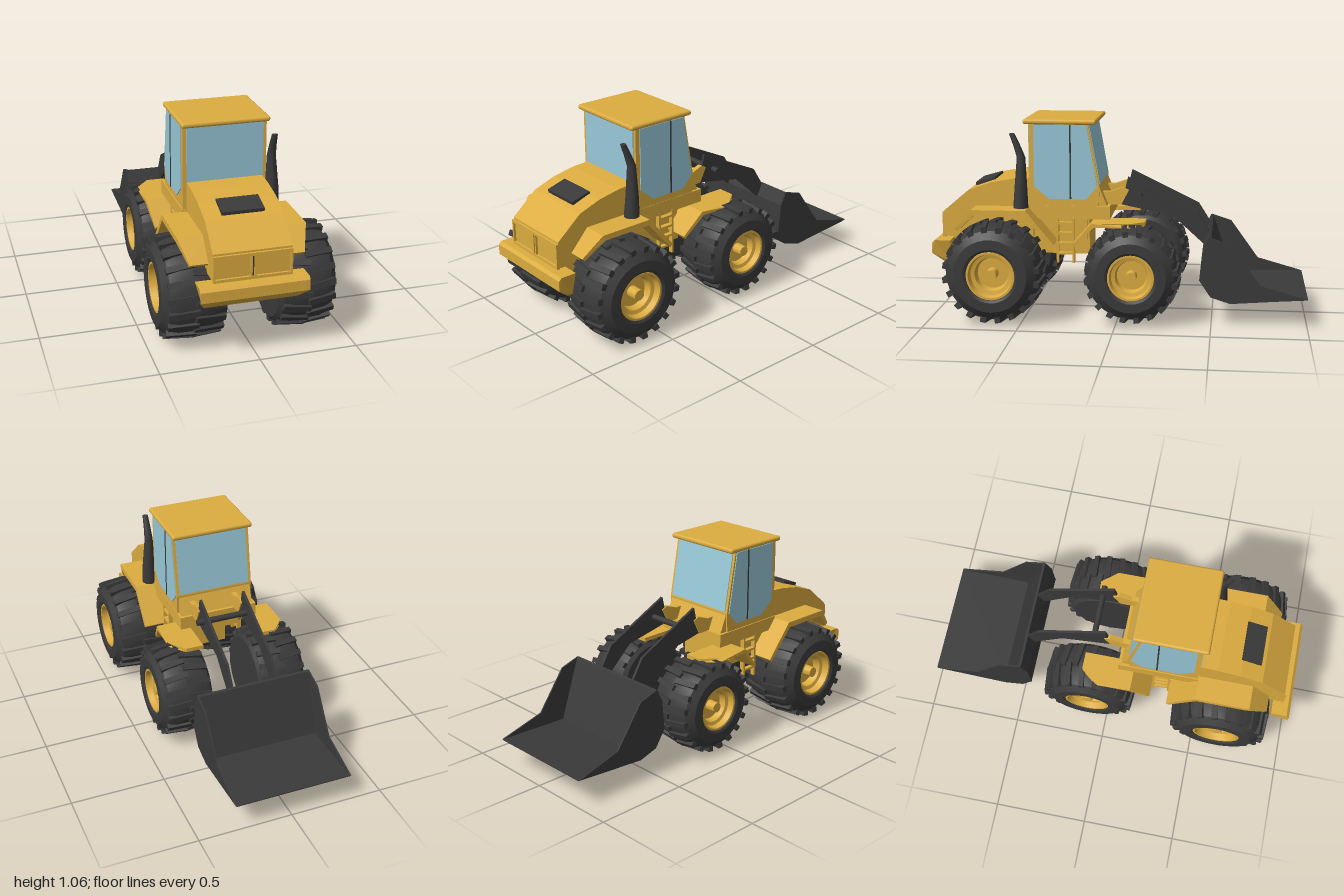
import * as THREE from 'three';
import { mergeGeometries, toCreasedNormals } from 'three/addons/utils/BufferGeometryUtils.js';
import { RoundedBoxGeometry } from 'three/addons/geometries/RoundedBoxGeometry.js';

const mat = (name, color) => {
  const m = new THREE.MeshStandardMaterial({ color });
  m.name = name;
  return m;
};

export function createModel() {
  const yellow = mat('body yellow', 0xdcac40);
  const dark = mat('dark rubber and steel', 0x3a3a3a);
  const glass = mat('window blue', 0x98c8d8);
  const root = new THREE.Group();
  root.name = 'vehicle';
  const MID = -0.027; // centre plane of the bodywork

  const add = (name, geo, material, parent = root) => {
    const mesh = new THREE.Mesh(geo, material);
    mesh.name = name;
    parent.add(mesh);
  };

  // Side outline given as [z, y] points, extruded from x0 to x1
  const side = (pts, x0, x1) => {
    const shape = new THREE.Shape(pts.map(([z, y]) => new THREE.Vector2(z, y)));
    return new THREE.ExtrudeGeometry(shape, { depth: x1 - x0, bevelEnabled: false })
      .rotateY(-Math.PI / 2).translate(x1, 0, 0);
  };
  const box = (x0, x1, y0, y1, z0, z1) =>
    new THREE.BoxGeometry(x1 - x0, y1 - y0, z1 - z0)
      .translate((x0 + x1) / 2, (y0 + y1) / 2, (z0 + z1) / 2);
  // Move vertices by a rule
  const bend = (geo, rule) => {
    const p = geo.attributes.position;
    const v = new THREE.Vector3();
    for (let i = 0; i < p.count; i++) {
      v.fromBufferAttribute(p, i);
      rule(v);
      p.setXYZ(i, v.x, v.y, v.z);
    }
    geo.computeVertexNormals();
    return geo;
  };

  // Wheels: axle along x, inner face at x = 0, outer face towards +x
  const lathe = (pts) => toCreasedNormals(
    new THREE.LatheGeometry(pts.map(([r, y]) => new THREE.Vector2(r, y)), 36), 0.5)
    .rotateZ(-Math.PI / 2);
  const tireGeo = lathe([[0, 0], [0.21, 0], [0.232, 0.02], [0.246, 0.08], [0.25, 0.16],
    [0.246, 0.24], [0.232, 0.285], [0.19, 0.32], [0.14, 0.322], [0.128, 0.315], [0.125, 0.25]]);
  const rimGeo = lathe([[0.128, 0.25], [0.126, 0.312], [0.115, 0.312], [0.108, 0.275],
    [0.088, 0.27], [0.08, 0.23], [0.03, 0.23], [0.028, 0.295], [0, 0.295]]);
  const lugs = [];
  for (let i = 0; i < 40; i++) {
    const s = i % 2 ? 1 : -1;
    lugs.push(new THREE.BoxGeometry(0.15, 0.03, 0.03)
      .rotateY(s * 0.1)
      .rotateZ(-s * 0.08)
      .translate(0.157 + s * 0.065, 0.244, 0)
      .rotateX((i / 40) * Math.PI * 2));
  }
  const lugGeo = mergeGeometries(lugs);

  const wheel = (name, x, z, dir, size, width) => {
    const g = new THREE.Group();
    g.name = name;
    add('tire', tireGeo, dark, g);
    add('treadLugs', lugGeo, dark, g);
    add('rim', rimGeo, yellow, g);
    g.position.set(x, 0.268, z);
    g.scale.set(width / 0.322, size, size);
    if (dir < 0) g.rotation.y = Math.PI;
    root.add(g);
  };
  wheel('engineWheelLeft', 0.14, 0.645, 1, 1.02, 0.305);
  wheel('engineWheelRight', -0.118, 0.63, -1, 1.02, 0.327);
  wheel('bucketWheelLeft', 0.14, -0.085, 1, 0.965, 0.28);
  wheel('bucketWheelRight', -0.12, -0.105, -1, 0.965, 0.28);

  // Engine end
  add('hood', side([[0.46, 0.42], [0.46, 0.745], [0.57, 0.738], [0.69, 0.716], [0.81, 0.674],
    [0.945, 0.56], [0.945, 0.42]], -0.225, 0.17), yellow);
  add('chassis', side([[0.16, 0.33], [0.16, 0.55], [0.93, 0.55], [0.93, 0.33]], -0.115, 0.138), yellow);
  add('hoodVent', side([[0.68, 0.71], [0.685, 0.73], [0.79, 0.7], [0.785, 0.67]], -0.135, 0.08), dark);
  add('grilleFrame', mergeGeometries([
    box(-0.225, 0.17, 0.535, 0.55, 0.94, 0.957), box(-0.225, 0.17, 0.415, 0.43, 0.94, 0.957),
    box(-0.225, -0.215, 0.42, 0.55, 0.94, 0.957), box(0.16, 0.17, 0.42, 0.55, 0.94, 0.957),
    box(-0.04, -0.032, 0.42, 0.54, 0.94, 0.957), box(-0.022, -0.014, 0.42, 0.54, 0.94, 0.957),
  ]), yellow);
  add('grilleGap', box(-0.031, -0.023, 0.43, 0.535, 0.943, 0.951), dark);
  add('counterweight', bend(side([[0.9, 0.41], [0.985, 0.41], [1, 0.395], [1, 0.34],
    [0.93, 0.28], [0.9, 0.28]], -0.3, 0.245), (v) => {
    if (v.y < 0.3) v.x -= Math.sign(v.x - MID) * 0.035;
  }), yellow);

  // Exhaust: tapered stack with a bent tip
  const exhaustPath = [[0.205, 0.57, 0.52, 0.042], [0.208, 0.7, 0.517, 0.034],
    [0.204, 0.86, 0.514, 0.023], [0.203, 0.92, 0.535, 0.019], [0.203, 0.985, 0.562, 0.015]];
  const exhaust = new THREE.CylinderGeometry(1, 1, 4, 14, 4).translate(0, 2, 0);
  add('exhaust', bend(exhaust, (v) => {
    const [x, y, z, r] = exhaustPath[Math.round(v.y)];
    v.set(x + v.x * r, y, z + v.z * r);
  }), dark);

  // Parts found on both sides
  for (const s of [1, -1]) {
    const label = s > 0 ? 'Left' : 'Right';
    const span = (a, b) => (s > 0 ? [MID + a, MID + b] : [MID - b, MID - a]);
    const clip = (near, far, a, b) => (v) => {
      if ((v.x - MID) * s < 0.25) return;
      if (v.z < near) v.x -= s * a;
      if (v.z > far) v.x -= s * b;
    };
    // Fenders: bent plates with clipped outer corners
    add('engineFender' + label, bend(side([[0.87, 0.48], [0.77, 0.59], [0.48, 0.59], [0.33, 0.41],
      [0.345, 0.395], [0.488, 0.56], [0.755, 0.56], [0.855, 0.465]], ...span(0.19, 0.328)),
    clip(-9, 0.8, 0, 0.04)), yellow);
    add('bucketFender' + label, bend(side([[-0.145, 0.53], [-0.06, 0.53], [0.13, 0.53], [0.235, 0.41],
      [0.225, 0.395], [0.12, 0.508], [-0.06, 0.508], [-0.145, 0.508]], ...span(0.163, 0.328)),
    clip(-0.1, 0.2, 0.07, 0.025)), yellow);
    // Access ladder
    const [l0, l1] = span(0.195, 0.22);
    add('ladder' + label, mergeGeometries([
      box(l0, l1, 0.29, 0.54, 0.235, 0.247), box(l0, l1, 0.29, 0.54, 0.32, 0.332),
      ...[0.335, 0.39, 0.445, 0.5].map((y) => box(l0, l1, y, y + 0.012, 0.24, 0.33)),
    ]), yellow);
    // Side windows and door gap
    add('sideWindow' + label, side([[0.45, 1.033], [0.168, 1.033], [0.112, 0.705], [0.172, 0.638],
      [0.37, 0.638], [0.45, 0.705]], ...span(0.216, 0.222)), glass);
    add('doorGap' + label, box(...span(0.218, 0.225), 0.64, 1.033, 0.25, 0.258), dark);
    // Lift arms with their mounts
    const ax = s > 0 ? 0.11 : -0.135;
    add('armMount' + label, side([[0.11, 0.67], [0.05, 0.67], [-0.02, 0.695], [-0.05, 0.68],
      [-0.01, 0.6], [0.1, 0.6]], ax - 0.014, ax + 0.014), yellow);
    add('liftArm' + label, side([[-0.045, 0.75], [-0.415, 0.57], [-0.475, 0.475], [-0.5, 0.43],
      [-0.45, 0.395], [-0.285, 0.545], [-0.01, 0.6]], ax - 0.007, ax + 0.007), dark);
  }
  add('armCrossTube', new THREE.CylinderGeometry(0.016, 0.016, 0.29, 14)
    .rotateZ(Math.PI / 2).translate(0.012, 0.652, -0.108), dark);

  // Cab
  add('cabFloor', box(-0.25, 0.192, 0.53, 0.602, 0.045, 0.48), yellow);
  add('underCab', box(-0.2, 0.145, 0.41, 0.54, 0.17, 0.5), yellow);
  add('cabShell', side([[0.475, 0.6], [0.475, 1.04], [0.16, 1.04], [0.1, 0.705], [0.105, 0.6]],
    -0.244, 0.19), yellow);
  add('cabApron', side([[0.102, 0.7], [0.06, 0.6], [0.11, 0.6]], -0.235, 0.18), yellow);
  add('bucketSideWindow', side([[0.165, 1.033], [0.155, 1.033], [0.098, 0.715], [0.107, 0.715]],
    -0.228, 0.175), glass);
  add('engineSideWindow', box(-0.225, 0.173, 0.745, 1.035, 0.473, 0.48), glass);
  add('roof', new RoundedBoxGeometry(0.456, 0.027, 0.388, 2, 0.012)
    .translate(-0.027, 1.047, 0.312), yellow);

  // Bucket: curved back, wedge floor and two side plates
  add('bucketBack', side([[-0.61, 0.125], [-0.495, 0.465], [-0.482, 0.47], [-0.45, 0.4],
    [-0.437, 0.24], [-0.495, 0.15], [-0.6, 0.118]], -0.32, 0.3), dark);
  add('bucketFloor', side([[-0.59, 0.118], [-1, 0.147], [-1, 0.152], [-0.59, 0.14]], -0.32, 0.3), dark);
  for (const [name, x] of [['bucketSideLeft', 0.297], ['bucketSideRight', -0.325]]) {
    add(name, side([[-0.485, 0.47], [-0.595, 0.435], [-0.75, 0.22], [-1, 0.15], [-0.6, 0.118],
      [-0.495, 0.15], [-0.435, 0.24], [-0.45, 0.4]], x, x + 0.008), dark);
  }
  return root;
}
